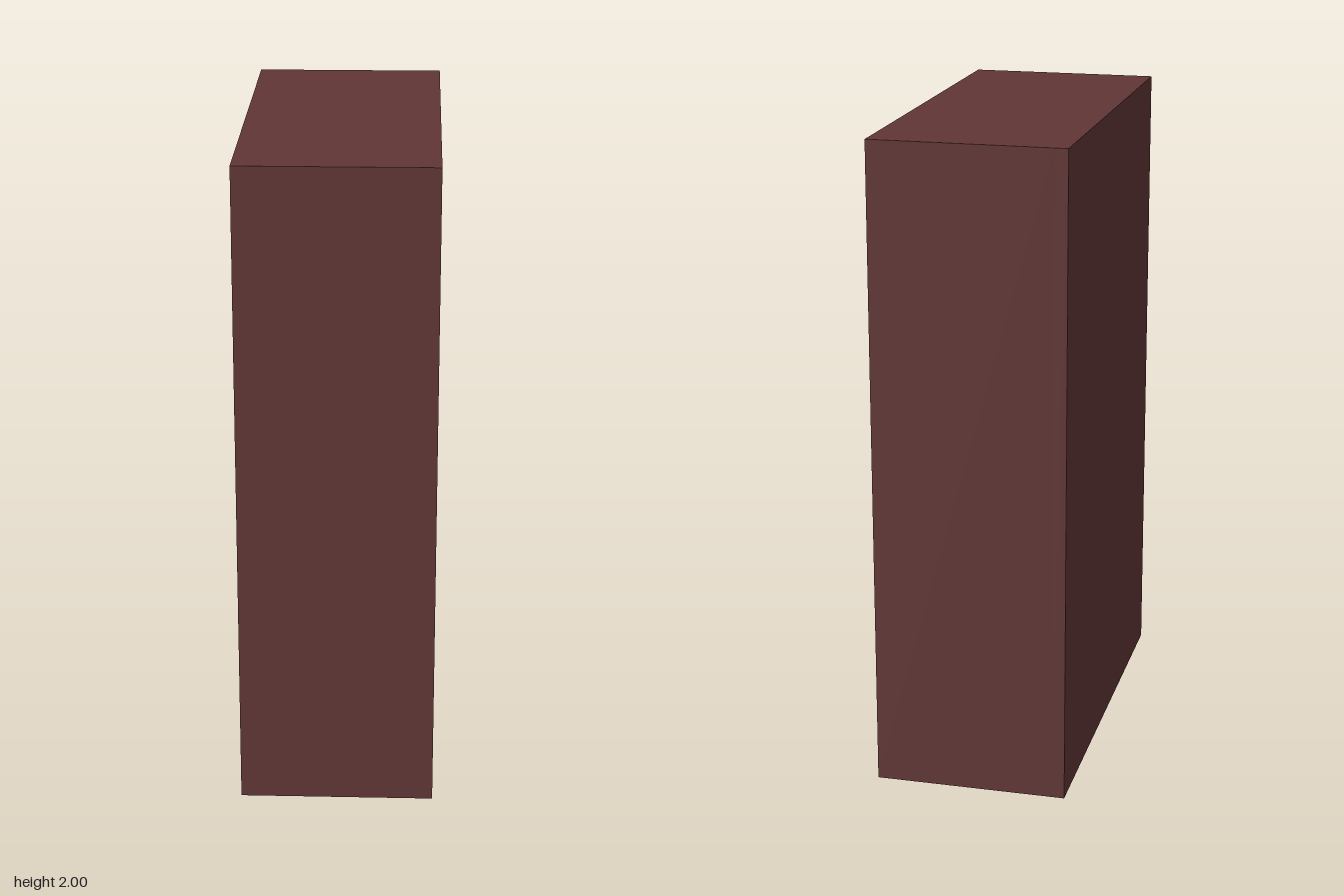
import * as THREE from 'three';

const HALF_DEPTH = 0.295; // along x, open side at +x
const HALF_WIDTH = 0.635; // along z
const HEIGHT = 2;
const BOARD = 0.04;
const SHELF_RECESS = 0.01;

export function createModel() {
  const group = new THREE.Group();
  group.name = 'bookcase';
  const wood = new THREE.MeshStandardMaterial({ color: 0x603636, flatShading: true });

  function add(name, geometry, x, y, z) {
    const mesh = new THREE.Mesh(geometry, wood);
    mesh.name = name;
    mesh.position.set(x, y, z);
    group.add(mesh);
  }

  // Outer frame: one rectangular ring, seamless at the corners
  const outline = new THREE.Shape();
  outline.moveTo(-HALF_WIDTH, 0).lineTo(HALF_WIDTH, 0).lineTo(HALF_WIDTH, HEIGHT).lineTo(-HALF_WIDTH, HEIGHT).closePath();
  const inner = HALF_WIDTH - BOARD;
  const opening = new THREE.Path();
  opening.moveTo(-inner, 0.045).lineTo(-inner, HEIGHT - BOARD).lineTo(inner, HEIGHT - BOARD).lineTo(inner, 0.045).closePath();
  outline.holes.push(opening);
  const frame = new THREE.ExtrudeGeometry(outline, { depth: 2 * HALF_DEPTH - BOARD, bevelEnabled: false });
  frame.rotateY(-Math.PI / 2);
  add('frame', frame, HALF_DEPTH, 0, 0);

  // Closed back
  add('backPanel', new THREE.BoxGeometry(BOARD, HEIGHT, 2 * HALF_WIDTH), -HALF_DEPTH + BOARD / 2, HEIGHT / 2, 0);

  // Shelves, set slightly behind the frame's edge
  const shelfDepth = 2 * HALF_DEPTH - BOARD - SHELF_RECESS;
  const shelf = new THREE.BoxGeometry(shelfDepth, BOARD, 2 * inner);
  [0.356, 0.739, 1.182, 1.552].forEach((y, i) => {
    add(`shelf${i + 1}`, shelf, (BOARD - SHELF_RECESS) / 2, y, 0);
  });

  return group;
}
